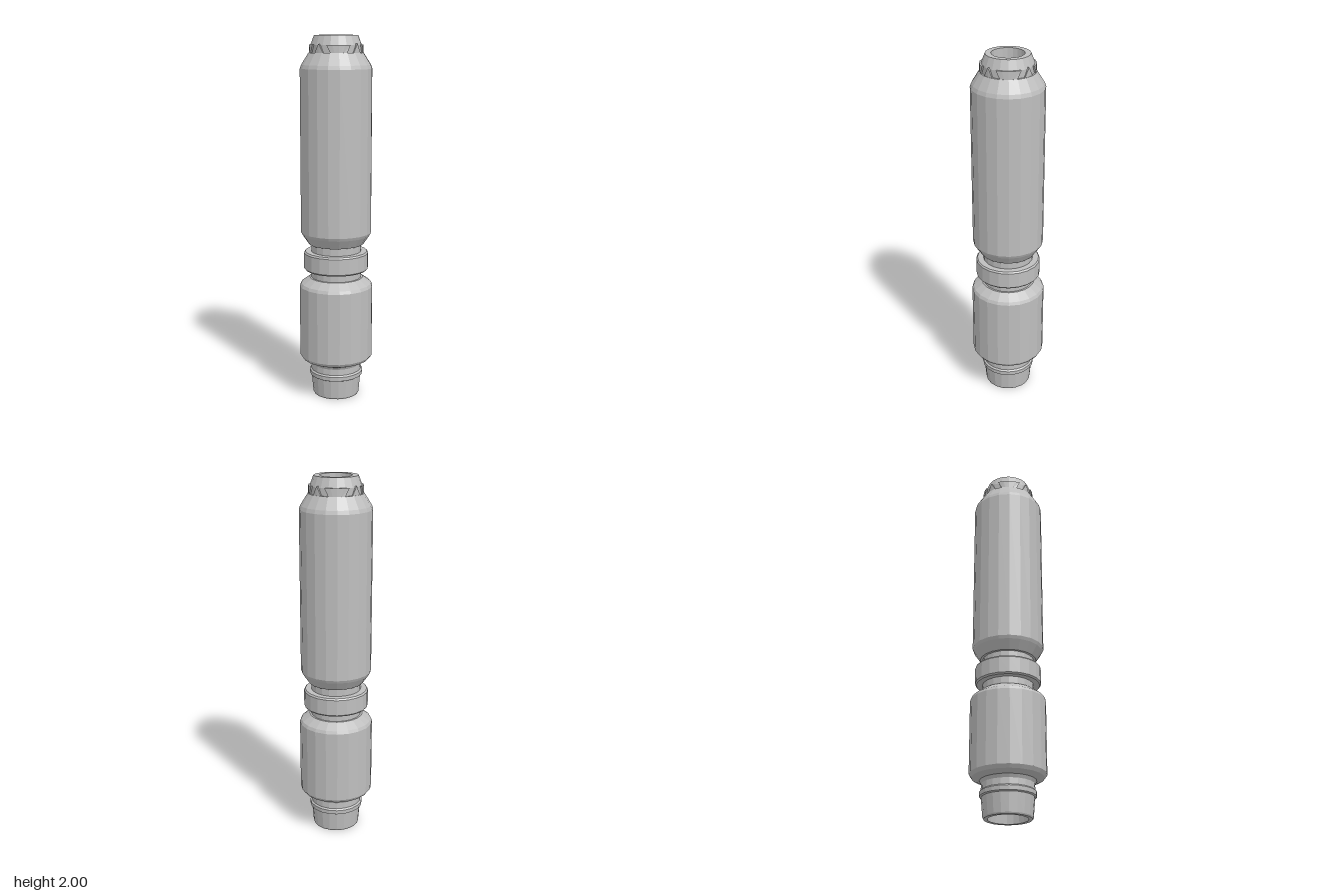
import * as THREE from 'three';

const SIDES = 20;
const metal = new THREE.MeshStandardMaterial({ color: 0xbebebe });
metal.name = 'greyMetal';

// Separate facets so that every face is flat
function facet(geometry) {
  const flat = geometry.toNonIndexed();
  flat.computeVertexNormals();
  return flat;
}

// Turned part from [radius, height] pairs, running upward on the outside
function turned(name, profile) {
  const points = profile.map(([r, y]) => new THREE.Vector2(r, y));
  const mesh = new THREE.Mesh(facet(new THREE.LatheGeometry(points, SIDES)), metal);
  mesh.name = name;
  return mesh;
}

// Curved plate with slanted ends, wrapped around the axis
function curvedPlate(name, { angle, bottomHalf, topHalf, y0, y1, inner, outer, steps }) {
  const geometry = new THREE.BoxGeometry(1, 1, 1, steps, 1, 1);
  const p = geometry.attributes.position;
  for (let i = 0; i < p.count; i++) {
    const v = p.getY(i) + 0.5;
    const half = THREE.MathUtils.lerp(bottomHalf, topHalf, v);
    const a = THREE.MathUtils.degToRad(angle + 2 * half * p.getX(i));
    const r = THREE.MathUtils.lerp(inner, outer, p.getZ(i) + 0.5);
    p.setXYZ(i, r * Math.sin(a), THREE.MathUtils.lerp(y0, y1, v), r * Math.cos(a));
  }
  const mesh = new THREE.Mesh(facet(geometry), metal);
  mesh.name = name;
  return mesh;
}

export function createModel() {
  const model = new THREE.Group();
  model.name = 'segmentedCylinder';

  // Hollow tapered foot with its raised ring
  model.add(turned('nozzle', [
    [0, 0.07], [0.098, 0.07], [0.105, 0], [0.126, 0], [0.13, 0.008], [0.139, 0.11],
    [0.148, 0.115], [0.149, 0.138], [0.14, 0.146], [0.139, 0.18], [0.15, 0.2],
  ]));

  // Short lower body
  model.add(turned('lowerBody', [
    [0.135, 0.195], [0.16, 0.2], [0.19, 0.213], [0.203, 0.232],
    [0.203, 0.632], [0.195, 0.648], [0.148, 0.682], [0.138, 0.682],
  ]));

  // Neck and collar between the bodies
  model.add(turned('neck', [[0.138, 0.67], [0.138, 0.88]]));
  model.add(turned('collar', [
    [0.136, 0.725], [0.171, 0.725], [0.178, 0.733],
    [0.178, 0.82], [0.171, 0.829], [0.136, 0.829],
  ]));

  // Long upper body
  model.add(turned('upperBody', [
    [0.136, 0.872], [0.152, 0.872], [0.186, 0.922], [0.194, 0.938],
    [0.194, 1.825], [0.187, 1.845], [0.147, 1.908], [0.13, 1.908],
  ]));

  // Recessed end cap
  model.add(turned('endCap', [
    [0.137, 1.9], [0.137, 1.948], [0.117, 2], [0.086, 2], [0.086, 1.94], [0, 1.94],
  ]));

  // Band plates and triangular lugs around the cap
  for (let i = 0; i < 4; i++) {
    model.add(curvedPlate('capBand', {
      angle: i * 90, bottomHalf: 17, topHalf: 26,
      y0: 1.905, y1: 1.95, inner: 0.13, outer: 0.145, steps: 4,
    }));
    model.add(curvedPlate('capLug', {
      angle: i * 90 + 45, bottomHalf: 12, topHalf: 0.5,
      y0: 1.905, y1: 1.955, inner: 0.125, outer: 0.144, steps: 2,
    }));
  }
  return model;
}
